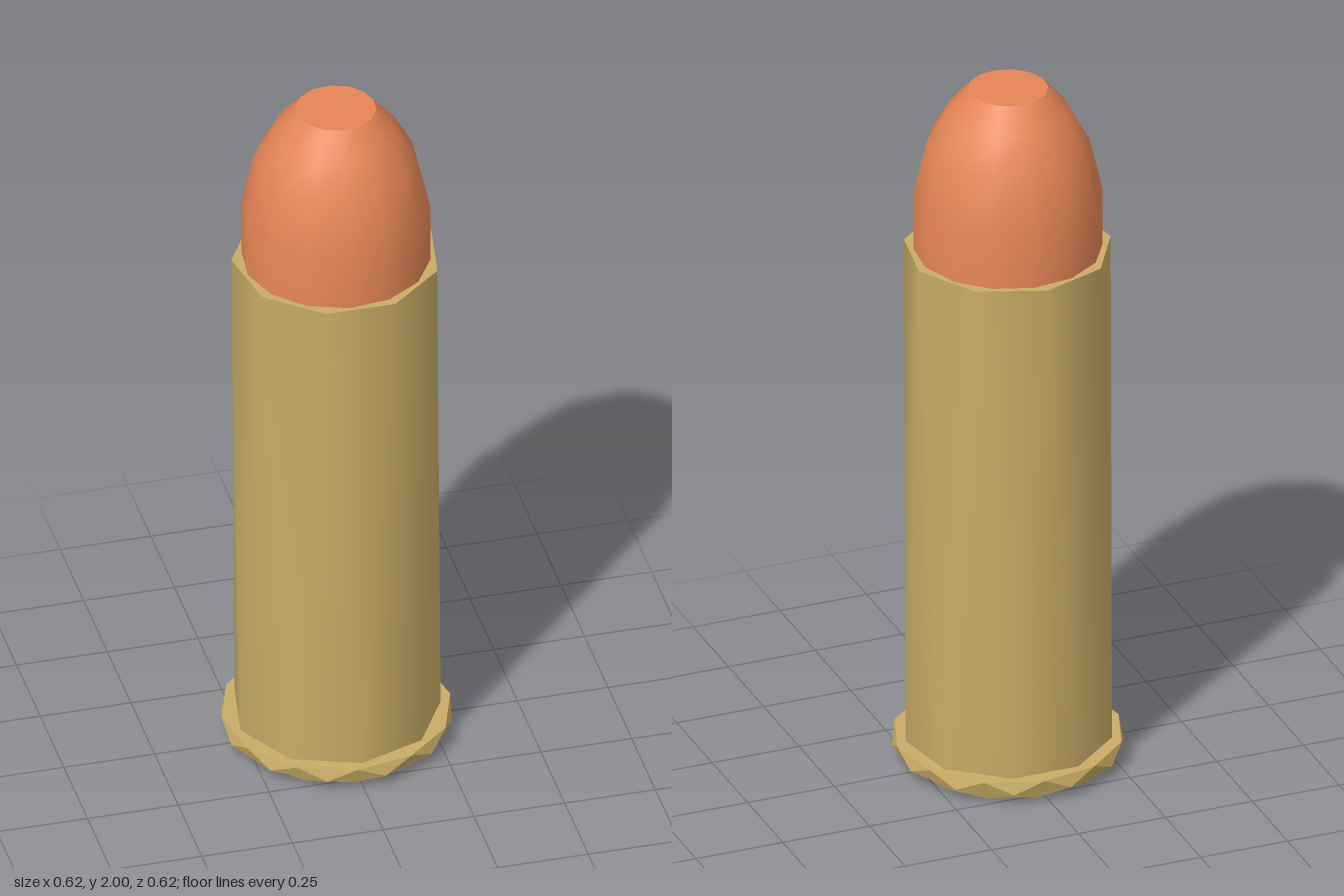
import * as THREE from 'three';
import { toCreasedNormals } from 'three/addons/utils/BufferGeometryUtils.js';

// Closed loft around y: each ring is [radius, height, phase in degrees], bottom to top.
function loft(sides, rings, crease) {
  const pos = [], index = [];
  for (const [r, y, phase] of rings) {
    for (let i = 0; i < sides; i++) {
      const a = THREE.MathUtils.degToRad(phase + (i * 360) / sides);
      pos.push(r * Math.sin(a), y, -r * Math.cos(a));
    }
  }
  const last = rings.length - 1;
  const bottom = sides * rings.length, top = bottom + 1;
  pos.push(0, rings[0][1], 0, 0, rings[last][1], 0);
  for (let i = 0; i < sides; i++) {
    const j = (i + 1) % sides;
    for (let k = 0; k < last; k++) {
      const lo = k * sides, hi = lo + sides;
      index.push(lo + i, hi + i, lo + j, lo + j, hi + i, hi + j);
    }
    index.push(bottom, i, j, top, last * sides + j, last * sides + i);
  }
  const g = new THREE.BufferGeometry();
  g.setAttribute('position', new THREE.Float32BufferAttribute(pos, 3));
  g.setIndex(index);
  return toCreasedNormals(g, crease);
}

export function createModel() {
  const group = new THREE.Group();
  const brass = new THREE.MeshStandardMaterial({ color: 0xc8ac66 });
  const copper = new THREE.MeshStandardMaterial({ color: 0xe58555 });
  const add = (name, geometry, material) => {
    const mesh = new THREE.Mesh(geometry, material);
    mesh.name = name;
    group.add(mesh);
  };

  // Faceted base rim with a bevelled underside
  add('rim', loft(12, [[0.265, 0, 4], [0.31, 0.035, -11], [0.31, 0.07, 4]], 0.45), brass);

  // Nine-sided casing, twisted half a side from bottom to top
  add('casing', loft(9, [[0.28, 0.06, -20], [0.28, 1.525, 0]], 0.9), brass);

  // Rounded nose with a flat tip
  add('nose', loft(14, [
    [0.253, 1.45, 6], [0.253, 1.69, 6], [0.218, 1.84, 6], [0.168, 1.93, 6], [0.108, 2, 6],
  ], 0.7), copper);

  return group;
}
